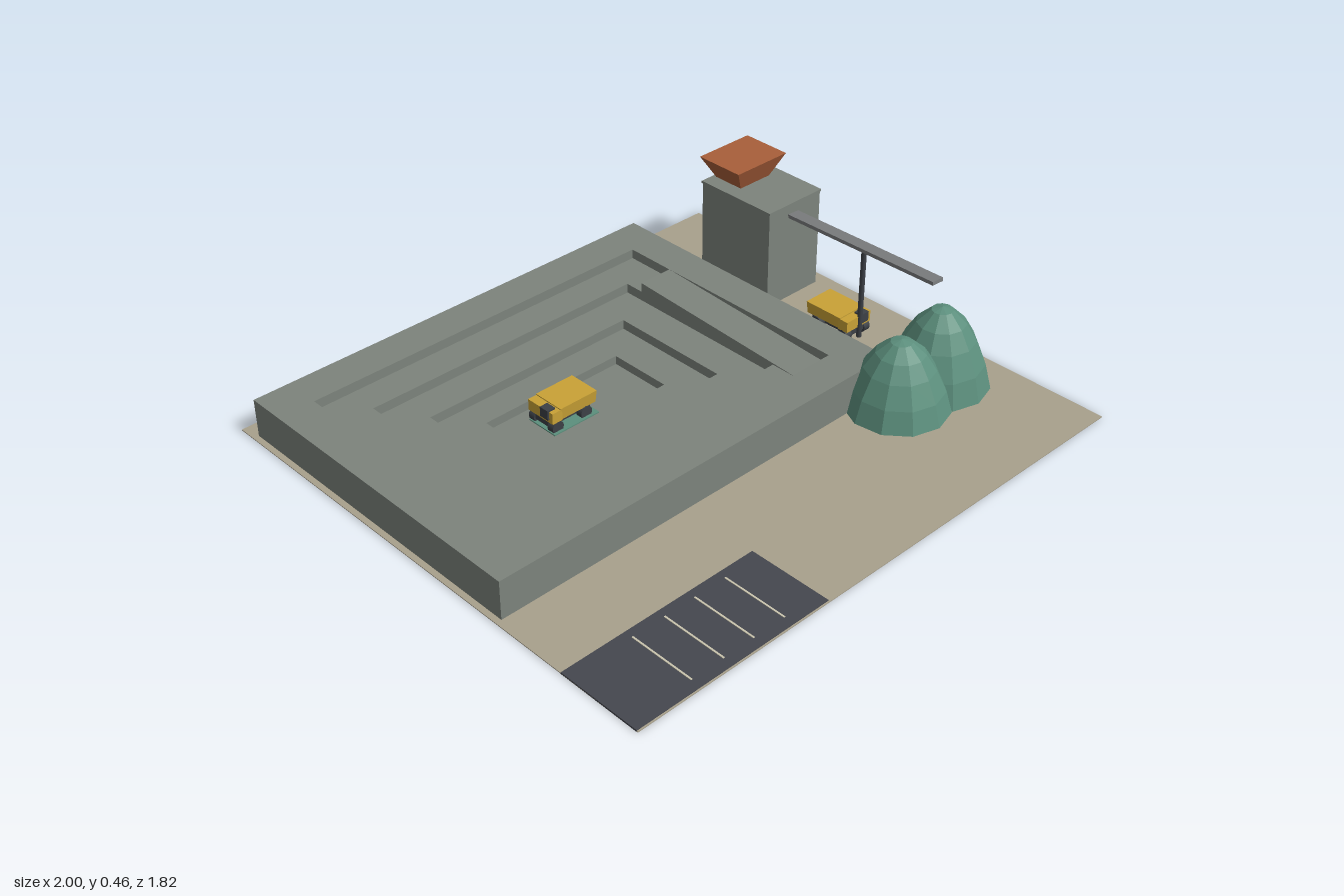
import * as THREE from 'three';

const mat = (name, color, extra = {}) => Object.assign(new THREE.MeshStandardMaterial({ color, ...extra }), { name });

export function createModel() {
  const model = new THREE.Group();
  model.name = 'quarry';
  const M = {
    sand: mat('sand', 0xa8a08c),
    rock: mat('rock', 0x7d837c),
    green: mat('moundGreen', 0x5c8f7d, { flatShading: true }),
    asphalt: mat('asphalt', 0x45474e),
    line: mat('paintLine', 0xc9c4ae),
    rust: mat('rust', 0xa85f3a, { flatShading: true }),
    yellow: mat('machineYellow', 0xc9a236),
    dark: mat('darkSteel', 0x3c4046),
    steel: mat('beltSteel', 0x7b7d7e),
  };

  const add = (parent, name, geometry, material) => {
    const m = new THREE.Mesh(geometry, material);
    m.name = name;
    parent.add(m);
    return m;
  };
  // Box given by its limits on each axis
  const box = (parent, name, material, x0, x1, y0, y1, z0, z1) => {
    const m = add(parent, name, new THREE.BoxGeometry(x1 - x0, y1 - y0, z1 - z0), material);
    m.position.set((x0 + x1) / 2, (y0 + y1) / 2, (z0 + z1) / 2);
    return m;
  };
  // Box whose lower corners are drawn in
  const taperedBox = (w, h, d, sx, sz) => {
    const g = new THREE.BoxGeometry(w, h, d);
    const p = g.attributes.position;
    for (let i = 0; i < p.count; i++) {
      if (p.getY(i) < 0) p.setXYZ(i, p.getX(i) * sx, p.getY(i), p.getZ(i) * sz);
    }
    g.computeVertexNormals();
    return g;
  };

  // Ground and parking area
  box(model, 'ground', M.sand, -1, 1, 0.001, 0.004, -0.91, 0.91);
  box(model, 'parkingArea', M.asphalt, -1, -0.275, 0, 0.006, 0.61, 0.905);
  for (const x of [-0.77, -0.65, -0.535, -0.415]) {
    box(model, 'parkingLine', M.line, x - 0.003, x + 0.003, 0.005, 0.008, 0.64, 0.87);
  }

  // Terraced pit: nested rings, each lower than the one outside it
  const rings = [
    [-0.98, 0.61, -0.845, 0.34],
    [-0.85, 0.48, -0.71, 0.21],
    [-0.715, 0.35, -0.595, 0.09],
    [-0.59, 0.22, -0.475, -0.03],
    [-0.455, 0.09, -0.37, -0.14],
  ];
  const heights = [0.14, 0.106, 0.072, 0.038, 0.007];
  const rect = (path, [x0, x1, z0, z1]) => path.moveTo(x0, -z1).lineTo(x1, -z1).lineTo(x1, -z0).lineTo(x0, -z0).lineTo(x0, -z1);
  const pit = new THREE.Group();
  pit.name = 'terracedPit';
  model.add(pit);
  rings.forEach((r, i) => {
    const s = new THREE.Shape();
    rect(s, r);
    if (rings[i + 1]) {
      const hole = new THREE.Path();
      rect(hole, rings[i + 1]);
      s.holes.push(hole);
    }
    const g = new THREE.ExtrudeGeometry(s, { depth: heights[i] - 0.002, bevelEnabled: false });
    g.rotateX(-Math.PI / 2);
    add(pit, i < 4 ? 'terrace' : 'pitFloor', g, M.rock).position.y = 0.002;
  });
  // Wedge ramp from the rim down to the first terrace
  const wedge = new THREE.Shape();
  wedge.moveTo(0.525, 0.1).lineTo(0.525, 0.14).lineTo(-0.2, 0.106).lineTo(-0.2, 0.1);
  const rampGeo = new THREE.ExtrudeGeometry(wedge, { depth: 0.13, bevelEnabled: false });
  rampGeo.rotateY(Math.PI / 2);
  add(pit, 'ramp', rampGeo, M.rock).position.x = 0.35;
  box(pit, 'pitPool', M.green, -0.32, -0.135, 0.006, 0.011, -0.325, -0.202);

  // Dump trucks, facing +z before turning
  const truck = (x, z, turn) => {
    const t = new THREE.Group();
    t.name = 'dumpTruck';
    box(t, 'chassis', M.dark, -0.035, 0.035, 0.02, 0.046, -0.085, 0.085);
    const bed = add(t, 'truckBed', taperedBox(0.118, 0.044, 0.15, 0.92, 0.97), M.yellow);
    bed.position.set(0, 0.066, -0.018);
    box(t, 'truckHood', M.yellow, -0.058, 0.058, 0.044, 0.084, 0.05, 0.09);
    box(t, 'cab', M.dark, 0.005, 0.042, 0.055, 0.09, 0.065, 0.096);
    for (const sx of [-1, 1]) {
      for (const wz of [-0.05, 0.068]) {
        const w = add(t, 'wheel', new THREE.CylinderGeometry(0.023, 0.023, 0.026, 12).rotateZ(Math.PI / 2), M.dark);
        w.position.set(sx * 0.045, 0.023, wz);
      }
    }
    t.position.set(x, 0, z);
    t.rotation.y = turn;
    model.add(t);
  };
  truck(0.79, -0.022, 0);
  truck(-0.228, -0.27, -Math.PI / 2);

  // Crusher house with hopper
  box(model, 'crusherHouse', M.rock, 0.703, 0.95, 0.002, 0.366, -0.59, -0.272);
  box(model, 'crusherRoof', M.rock, 0.7, 0.953, 0.366, 0.374, -0.593, -0.269);
  const hopper = add(model, 'hopper', taperedBox(0.232, 0.082, 0.185, 0.6, 0.64), M.rust);
  hopper.position.set(0.826, 0.415, -0.52);

  // Conveyor: post and sloping belt
  const low = new THREE.Vector3(0.815, 0.33, -0.268);
  const high = new THREE.Vector3(0.77, 0.373, 0.395);
  const belt = add(model, 'conveyorBelt', new THREE.BoxGeometry(0.046, 0.013, low.distanceTo(high)), M.steel);
  belt.position.copy(low).add(high).multiplyScalar(0.5);
  belt.lookAt(high);
  const post = add(model, 'conveyorPost', new THREE.CylinderGeometry(0.009, 0.009, 0.345, 10), M.dark);
  post.position.set(0.795, 0.1745, 0.068);

  // Stockpiles
  const profile = [[0.176, 0], [0.153, 0.31], [0.118, 0.6], [0.082, 0.81], [0.036, 0.965], [0, 1]];
  const mound = (x, h) => {
    const pts = profile.map(([r, t]) => new THREE.Vector2(r, t * h));
    add(model, 'stockpile', new THREE.LatheGeometry(pts, 11), M.green).position.set(x, 0.002, 0.42);
  };
  mound(0.58, 0.253);
  mound(0.775, 0.288);

  return model;
}
